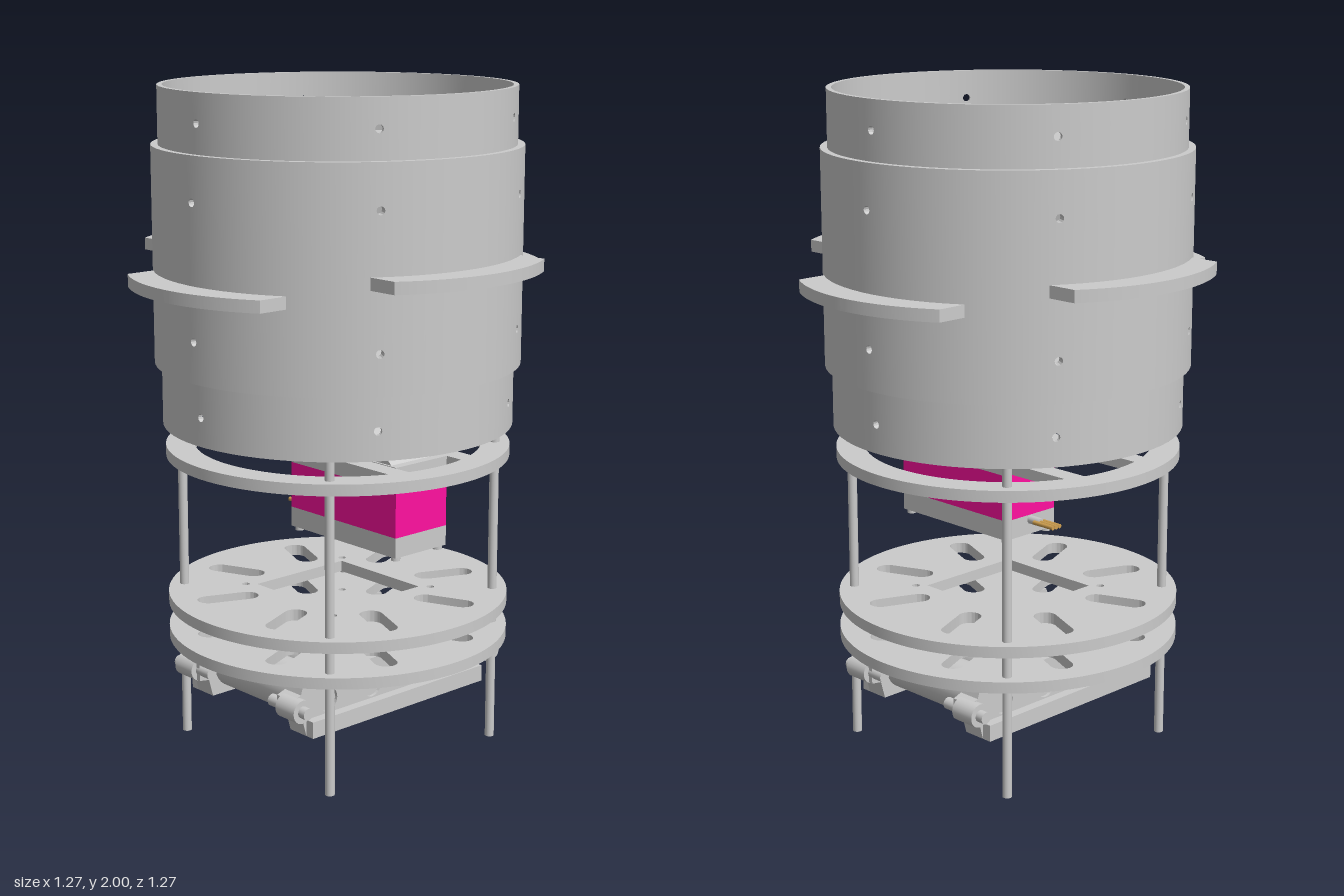
import * as THREE from 'three';
import { mergeGeometries, toCreasedNormals } from 'three/addons/utils/BufferGeometryUtils.js';

const grey = new THREE.MeshStandardMaterial({ color: 0xcccccc });
const pink = new THREE.MeshStandardMaterial({ color: 0xff10a0 });
const tan = new THREE.MeshStandardMaterial({ color: 0xd0a050 });

function add(parent, name, geo, x = 0, y = 0, z = 0, mat = grey) {
  const m = new THREE.Mesh(geo, mat);
  m.name = name;
  m.position.set(x, y, z);
  parent.add(m);
  return m;
}
const box = (w, h, d) => new THREE.BoxGeometry(w, h, d);
const rod = (r, len, seg = 24) => new THREE.CylinderGeometry(r, r, len, seg);
const rodX = (r, len, seg = 24) => rod(r, len, seg).rotateZ(Math.PI / 2);
const points = list => list.map(p => new THREE.Vector2(...p));

// Flat plate: outline in x/z, thickness upward
function plate(shape, h) {
  const g = new THREE.ExtrudeGeometry(shape, { depth: h, bevelEnabled: false, curveSegments: 64 });
  return toCreasedNormals(g.rotateX(-Math.PI / 2), 0.5);
}
function circle(Kind, r, x = 0, y = 0) {
  const s = new Kind();
  s.absarc(x, y, r, 0, Math.PI * 2, false);
  return s;
}

// Tube wall with six screw holes per row, bent from narrow flat columns
function tubeWall(ri, ro, y0, y1, holeRows) {
  const parts = [], n = 72, w = (Math.PI * 2 / n) * ro;
  for (let i = 0; i < n; i++) {
    const c = i * w;
    const s = new THREE.Shape(points([[c - w / 2, y0], [c + w / 2, y0], [c + w / 2, y1], [c - w / 2, y1]]));
    if (i % 12 === 0) for (const y of holeRows) s.holes.push(circle(THREE.Path, 0.012, c, y));
    parts.push(new THREE.ExtrudeGeometry(s, { depth: ro - ri, bevelEnabled: false, curveSegments: 6 }));
  }
  const g = mergeGeometries(parts);
  const p = g.attributes.position, nm = g.attributes.normal;
  for (let i = 0; i < p.count; i++) {
    const a = p.getX(i) / ro, r = ri + p.getZ(i), sn = Math.sin(a), cs = Math.cos(a);
    p.setXYZ(i, r * sn, p.getY(i), r * cs);
    const nx = nm.getX(i), nz = nm.getZ(i);
    nm.setXYZ(i, nx * cs + nz * sn, nm.getY(i), nz * cs - nx * sn);
  }
  return g;
}

// Round deck with eight radial slots and an optional square opening
function slottedDeck(half) {
  const s = circle(THREE.Shape, 0.515);
  for (let k = 0; k < 8; k++) {
    const a = Math.PI / 8 + k * Math.PI / 4, c = Math.cos(a), d = Math.sin(a), slot = new THREE.Path();
    slot.absarc(0.29 * c, 0.29 * d, 0.034, a + Math.PI / 2, a + Math.PI * 1.5, false);
    slot.absarc(0.41 * c, 0.41 * d, 0.034, a - Math.PI / 2, a + Math.PI / 2, false);
    slot.closePath();
    s.holes.push(slot);
  }
  for (const x of [-1, 1]) for (const z of [-1, 1]) s.holes.push(circle(THREE.Path, 0.012, x * 0.2, z * 0.2));
  if (half) {
    s.holes.push(new THREE.Path(points([[-half, -half], [half, -half], [half, half], [-half, half], [-half, -half]])));
  }
  return plate(s, 0.034);
}

// Main servo, origin at the middle of its underside
function servo() {
  const g = new THREE.Group();
  g.name = 'mainServo';
  add(g, 'servoBody', box(0.455, 0.14, 0.205), 0, 0.14, 0, pink);
  add(g, 'servoBase', box(0.455, 0.06, 0.205), 0, 0.04, 0);
  add(g, 'servoTop', box(0.455, 0.07, 0.205), 0, 0.245, 0);
  add(g, 'servoFlange', box(0.575, 0.028, 0.19), 0, 0.235, 0);
  for (const x of [-0.21, 0.21]) for (const z of [-0.085, 0.085]) add(g, 'servoScrew', rod(0.014, 0.02, 12), x, 0.008, z);
  const s = new THREE.Shape(points([[-0.228, 0], [0.2, 0], [0.19, 0.01], [0.02, 0.06], [-0.18, 0.065], [-0.228, 0.01]]));
  add(g, 'gearCase', new THREE.ExtrudeGeometry(s, { depth: 0.19, bevelEnabled: false }), 0, 0.28, -0.095);
  add(g, 'outputShaft', rod(0.035, 0.04), -0.11, 0.35, 0);
  return g;
}

function batteryPack() {
  const g = new THREE.Group();
  g.name = 'batteryPack';
  const zs = [-0.265, -0.088, 0.088, 0.265];
  for (const z of zs) add(g, 'batteryCell', rodX(0.075, 0.37, 32), 0, 0.25, z);
  // End plate outline in z/y
  const s = new THREE.Shape(points([[-0.35, 0.16], [0.35, 0.16], [0.365, 0.215], [0.4, 0.22], [0.4, 0.28], [0.37, 0.29], [0.355, 0.335],
    [-0.355, 0.335], [-0.37, 0.29], [-0.4, 0.28], [-0.4, 0.22], [-0.365, 0.215]]));
  for (const z of zs) s.holes.push(circle(THREE.Path, 0.036, z, 0.25));
  const end = new THREE.ExtrudeGeometry(s, { depth: 0.07, bevelEnabled: false }).rotateY(Math.PI / 2);
  for (const side of [-1, 1]) {
    add(g, 'batteryEndPlate', end, side > 0 ? 0.18 : -0.25, 0, 0);
    add(g, 'endPlateFoot', box(0.1, 0.05, 0.7), side * 0.23, 0.185, 0);
    for (const z of [-0.385, 0.385]) {
      add(g, 'endLug', rodX(0.035, 0.08), side * 0.235, 0.25, z);
      add(g, 'lugScrew', rodX(0.018, 0.16, 16), side * 0.22, 0.25, z);
    }
    for (const z of zs) add(g, 'cellContact', rodX(0.036, 0.06), side * 0.21, 0.25, z);
  }
  return g;
}

export function createModel() {
  const model = new THREE.Group();
  model.name = 'cylindricalBay';

  // Outer shell and the couplers at each end
  add(model, 'outerShell', tubeWall(0.522, 0.543, 1.19, 1.83, [1.31, 1.7]));
  add(model, 'topCoupler', tubeWall(0.507, 0.522, 1.66, 2, [1.7, 1.915]));
  add(model, 'bottomCoupler', tubeWall(0.507, 0.522, 1.005, 1.35, [1.09, 1.31]));

  // Bulkheads inside the tube
  const bulk = circle(THREE.Shape, 0.507);
  bulk.holes.push(circle(THREE.Path, 0.043));
  add(model, 'topBulkhead', plate(bulk, 0.035), 0, 1.785, 0);
  add(model, 'centreBoss', rod(0.06, 0.02), 0, 1.77, 0);
  add(model, 'centrePin', rod(0.017, 0.03), 0, 1.785, 0);
  add(model, 'lowerBulkhead', plate(circle(THREE.Shape, 0.51), 0.03), 0, 1.26, 0);

  // Curved brake flaps: tube-radius arcs slid outward, one pair slightly higher
  const flap = new THREE.Shape();
  const R = 0.543, shift = 0.092, a = Math.asin(0.295 / R), b = Math.asin(0.295 / 0.5), up = Math.PI / 2;
  flap.absarc(0, shift, R, up - a, up + a, false);
  flap.absarc(0, 0, 0.5, up + b, up - b, true);
  flap.closePath();
  const flapGeo = plate(flap, 0.036);
  for (let k = 0; k < 4; k++) {
    add(model, 'brakeFlap', flapGeo, 0, k % 2 ? 1.485 : 1.432, 0).rotation.y = k * Math.PI / 2;
  }

  // Threaded rods
  for (const x of [-0.333, 0.333]) for (const z of [-0.333, 0.333]) add(model, 'supportRod', rod(0.014, 1.27, 16), x, 0.635, z);

  // Servo deck: open ring with two cross bars
  const ring = circle(THREE.Shape, 0.515);
  ring.holes.push(circle(THREE.Path, 0.43));
  add(model, 'servoRing', plate(ring, 0.034), 0, 0.906, 0);
  for (const z of [-0.135, 0.135]) add(model, 'servoCrossBar', box(0.84, 0.032, 0.06), 0, 0.923, z);

  // Lower decks
  add(model, 'upperDeck', slottedDeck(0.175), 0, 0.446, 0);
  add(model, 'lowerDeck', slottedDeck(0), 0, 0.339, 0);

  // Main servo and its cable
  const main = servo();
  main.position.set(0.132, 0.66, 0);
  model.add(main);
  add(model, 'cableBoot', rodX(0.013, 0.05, 12), -0.115, 0.715, 0);
  for (const z of [-0.014, 0, 0.014]) add(model, 'cableWire', rodX(0.007, 0.08, 8), -0.165, 0.715, z, tan);

  // Second actuator, tucked inside the tube
  add(model, 'innerActuator', box(0.34, 0.2, 0.16), 0, 1.115, -0.175, pink);
  for (const x of [-0.14, 0.14]) for (const z of [-0.21, -0.14]) add(model, 'actuatorScrew', rod(0.012, 0.03, 12), x, 1.005, z);

  model.add(batteryPack());
  return model;
}
